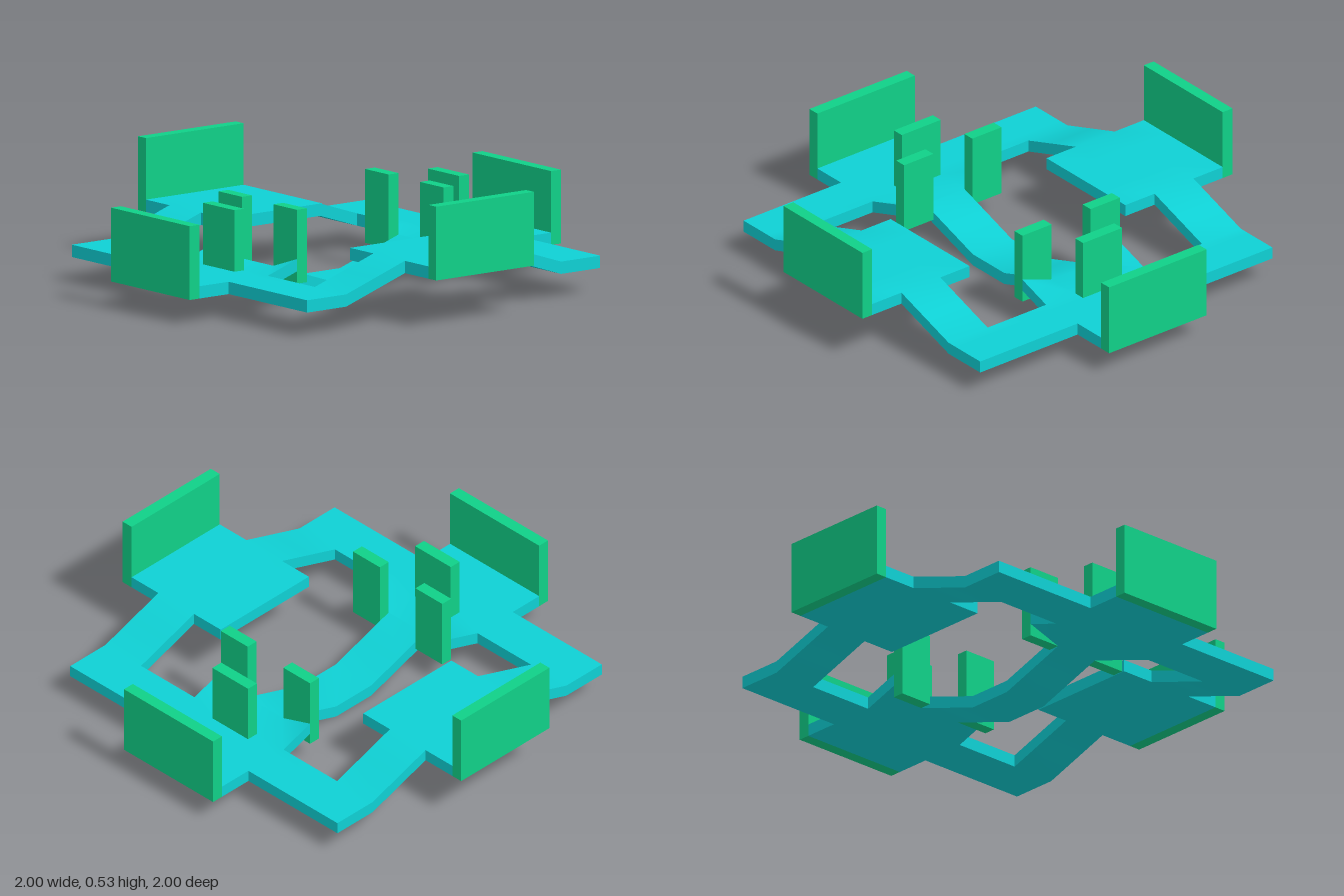
import * as THREE from 'three';
import { toCreasedNormals } from 'three/addons/utils/BufferGeometryUtils.js';

// One unit of the layout; the model is 38 units long.
const U = 1 / 19;

// Plan of the deck: columns run along x, rows along z, mirrored front to back.
const XS = [-18, -15, -11, -8, -5, -2, 2, 5, 8, 11, 15, 18];
const ZS = [-18, -15, -12, -11, -8, -5, -2, 2, 5, 8, 11, 12, 15, 18];
const HALF = [
  '....###....', // end platform
  '.#########.', // crossbar
  '.#########.',
  '.#..###..#.', // platform neck, side ramps
  '.#...#...#.', // side and centre ramps
  '###..#..###', // raised side platforms
];
const PLAN = [...HALF, HALF[5], ...HALF.slice().reverse()];

// Underside height: the centre lane dips, the side lanes rise.
function bottom(x, z) {
  const d = Math.abs(z);
  if (Math.abs(x) <= 2) return THREE.MathUtils.clamp((d - 2) / 3, 0, 2);
  return 2 + THREE.MathUtils.clamp((11 - d) / 3, 0, 2);
}

function deckGeometry() {
  const pos = [];
  const quad = (a, b, c, d) => [a, b, c, a, c, d].forEach((p) => pos.push(...p.map((v) => v * U)));
  const filled = (r, c) => PLAN[r]?.[c] === '#';

  for (let r = 0; r < PLAN.length; r++) {
    for (let c = 0; c < XS.length - 1; c++) {
      if (!filled(r, c)) continue;
      const [x0, x1, z0, z1] = [XS[c], XS[c + 1], ZS[r], ZS[r + 1]];
      const corners = [[x0, z0], [x0, z1], [x1, z1], [x1, z0]];
      const low = corners.map(([x, z]) => [x, bottom(x, z), z]);
      const top = low.map(([x, y, z]) => [x, y + 1, z]);
      quad(...top);
      quad(...low.slice().reverse());
      // Rims only where the deck ends
      [[r, c - 1], [r + 1, c], [r, c + 1], [r - 1, c]].forEach(([nr, nc], i) => {
        const j = (i + 1) % 4;
        if (!filled(nr, nc)) quad(low[i], low[j], top[j], top[i]);
      });
    }
  }
  const g = new THREE.BufferGeometry();
  g.setAttribute('position', new THREE.Float32BufferAttribute(pos, 3));
  return toCreasedNormals(g, 0.6);
}

export function createModel() {
  const group = new THREE.Group();
  const deckMat = new THREE.MeshStandardMaterial({ color: 0x0fd0d4 });
  const wallMat = new THREE.MeshStandardMaterial({ color: 0x10d088 });

  const deck = new THREE.Mesh(deckGeometry(), deckMat);
  deck.name = 'deck';
  group.add(deck);

  // Upright panel given by its extents in layout units
  function wall(name, x0, x1, y0, y1, z0, z1) {
    const mesh = new THREE.Mesh(
      new THREE.BoxGeometry((x1 - x0) * U, (y1 - y0) * U, (z1 - z0) * U), wallMat);
    mesh.position.set((x0 + x1) / 2, (y0 + y1) / 2, (z0 + z1) / 2).multiplyScalar(U);
    mesh.name = name;
    group.add(mesh);
  }

  for (const [s, end, side] of [[1, 'front', 'left'], [-1, 'back', 'right']]) {
    const at = (mid) => [s * mid - 0.5, s * mid + 0.5];
    wall(`${end}EndWall`, -5, 5, 2, 8, ...at(18.5));
    wall(`${end}CentreBlock`, -2, 2, 3, 8, ...at(11.5));
    wall(`${end}LeftGatePost`, 2, 5, 2, 8, ...at(7.5));
    wall(`${end}RightGatePost`, -5, -2, 2, 8, ...at(7.5));
    wall(`${side}SideWall`, ...at(18.5), 4, 10, -5, 5);
  }
  return group;
}
